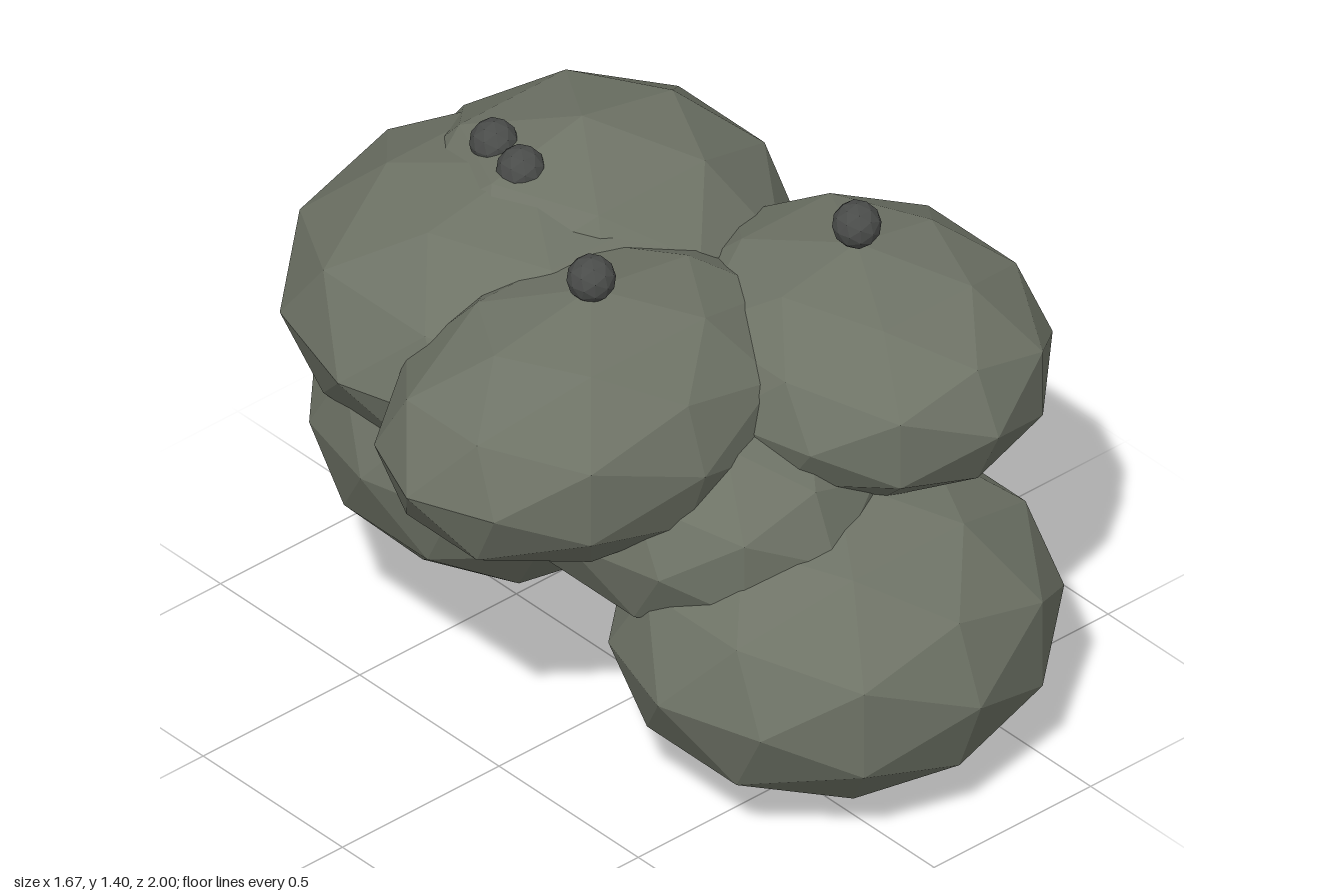
import * as THREE from 'three';

const stone = new THREE.MeshStandardMaterial({ color: 0x6e7366, flatShading: true });
const dark = new THREE.MeshStandardMaterial({ color: 0x4a4c4a, flatShading: true });

// Low-poly ellipsoid with given centre and radii
function blob(name, centre, radii, material) {
  const mesh = new THREE.Mesh(new THREE.IcosahedronGeometry(1, 1), material);
  mesh.name = name;
  mesh.position.set(...centre);
  mesh.scale.set(...radii);
  return mesh;
}

export function createModel() {
  const group = new THREE.Group();
  group.name = 'boulderCluster';

  // Large overlapping boulders
  const boulders = [
    ['frontLowerBoulder', [0.15, 0.4, 0.48], [0.57, 0.395, 0.52]],
    ['frontLeftBoulder', [0.38, 0.98, 0.295], [0.455, 0.3, 0.51]],
    ['rightBoulder', [-0.25, 0.98, 0.05], [0.59, 0.335, 0.41]],
    ['backLeftBoulder', [0.13, 0.98, -0.41], [0.55, 0.415, 0.5]],
    ['backRightBoulder', [-0.045, 0.98, -0.41], [0.605, 0.36, 0.59]],
    ['backLowerBoulder', [-0.18, 0.69, -0.385], [0.42, 0.39, 0.485]],
    // Core stones filling the middle
    ['frontCore', [0, 0.7, 0.15], [0.42, 0.34, 0.5]],
    ['backCore', [0.08, 0.69, -0.02], [0.4, 0.31, 0.46]],
  ];
  for (const [name, centre, radii] of boulders) group.add(blob(name, centre, radii, stone));

  // Small pebbles resting on top
  const pebbles = [
    [-0.25, 1.345, 0.05],
    [0.38, 1.335, 0.295],
    [-0.045, 1.337, -0.53],
    [-0.07, 1.337, -0.405],
  ];
  for (const centre of pebbles) group.add(blob('pebble', centre, [0.06, 0.06, 0.06], dark));

  return group;
}
